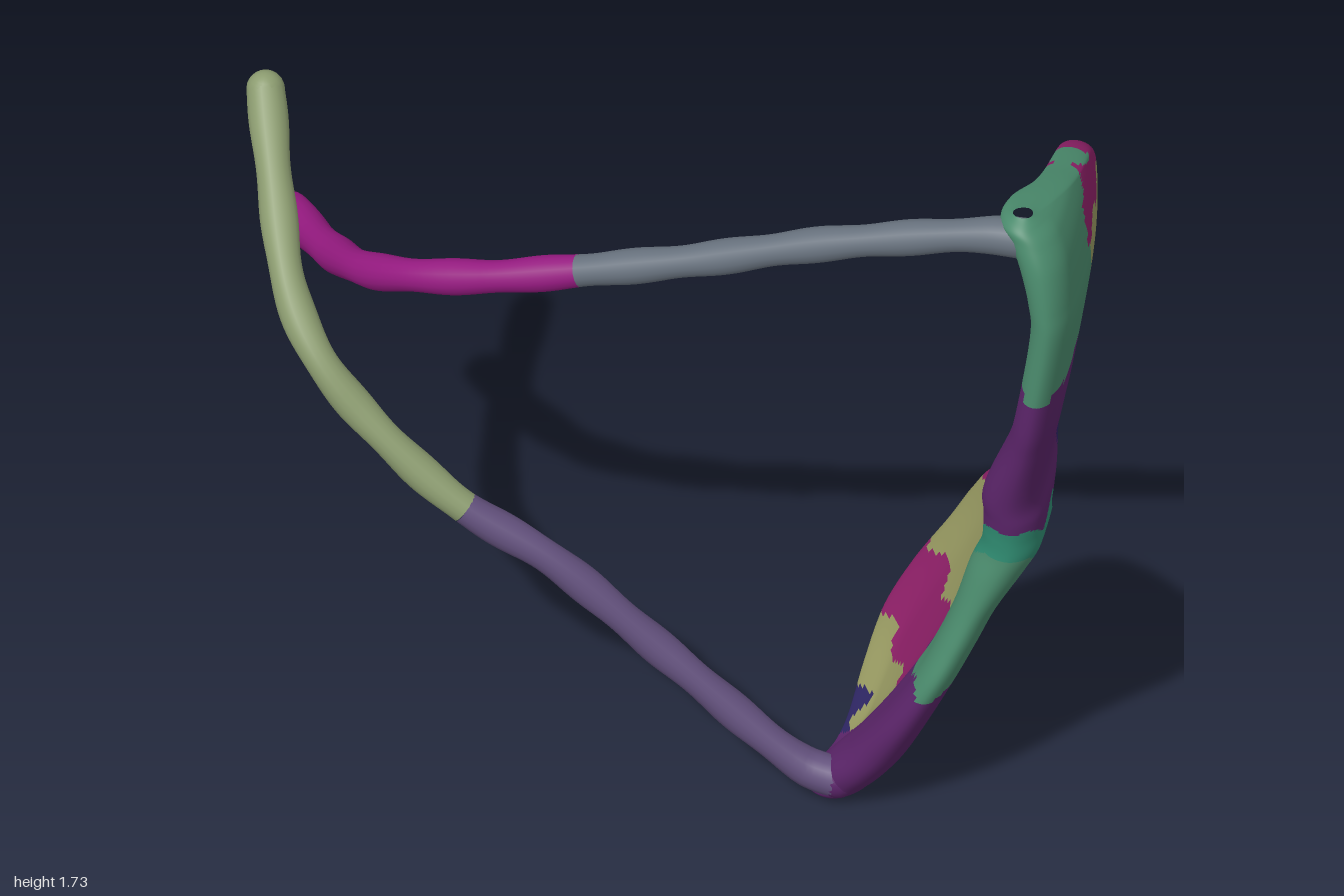
import * as THREE from 'three';

const COLORS = {
  green: 0x4a8a6c, purple: 0x5a2468, magenta: 0x8c1f66, olive: 0x94965f,
  navy: 0x2c2460, teal: 0x2f8a70, grey: 0x66707c, violet: 0x62507c, sage: 0x8c9c70, pink: 0x951a80,
};
const mat = (name) => new THREE.MeshStandardMaterial({ color: COLORS[name] });
const { smoothstep } = THREE.MathUtils;

// Lens frame stations: y, lens lower edge z, brow edge z, outer face x, thickness
const STATIONS = [
  [0.005, 0.21, 0.23, 0.455, 0.02], [0.03, 0.08, 0.265, 0.505, 0.09], [0.06, -0.02, 0.275, 0.535, 0.095],
  [0.105, -0.155, 0.29, 0.57, 0.095], [0.175, -0.27, 0.305, 0.615, 0.085], [0.29, -0.312, 0.325, 0.672, 0.07],
  [0.42, -0.315, 0.33, 0.733, 0.06], [0.52, -0.31, 0.315, 0.778, 0.06], [0.61, -0.27, 0.3, 0.818, 0.065],
  [0.715, -0.13, 0.29, 0.878, 0.085], [0.78, 0.03, 0.285, 0.912, 0.09], [0.83, 0.07, 0.285, 0.918, 0.09],
  [0.88, 0.02, 0.29, 0.92, 0.09], [0.945, -0.13, 0.295, 0.914, 0.085], [1.09, -0.27, 0.315, 0.94, 0.065],
  [1.2, -0.308, 0.33, 0.96, 0.06], [1.43, -0.312, 0.335, 0.994, 0.06], [1.525, -0.285, 0.33, 0.995, 0.065],
  [1.62, -0.19, 0.315, 0.983, 0.075], [1.68, -0.01, 0.295, 0.96, 0.08], [1.71, 0.1, 0.28, 0.935, 0.075],
  [1.732, 0.21, 0.25, 0.9, 0.03],
];

// Colour bands from bottom to top: [upper y limit, colour]
const BROW_BANDS = [[0.39, 'purple'], [0.76, 'green'], [0.84, 'teal'], [1.26, 'purple'], [2, 'green']];
const LENS_BANDS = [[0.08, 'navy'], [0.17, 'olive'], [0.36, 'magenta'], [0.59, 'olive'], [0.71, 'magenta'],
  [0.8, 'teal'], [0.95, 'navy'], [1.1, 'olive'], [1.3, 'magenta'], [1.53, 'olive'], [1.65, 'magenta'], [2, 'green']];

// Quarter-round falloff within r of an edge, d being the distance to it
const roundEdge = (d, r) => Math.sqrt(Math.max(0, 1 - Math.max(0, 1 - d / r) ** 2));

// Both lenses and the bridge: one curved shell lofted along y, split into colour patches
function makeLensFrame() {
  const group = new THREE.Group();
  group.name = 'lensFrame';
  const curve = (a, b) => new THREE.CatmullRomCurve3(
    STATIONS.map((s) => new THREE.Vector3(s[a], s[b], s[0])), false, 'catmullrom', 0.5);
  const edges = curve(1, 2), body = curve(3, 4);
  const rows = 210, sides = 96, pos = [], patches = {};
  for (let i = 0; i <= rows; i++) {
    const { x: zLow, y: zHigh, z: y } = edges.getPoint(i / rows);
    const { x: outer, y: thick } = body.getPoint(i / rows);
    const bend = 0.07 + 0.035 * (1 - smoothstep(y, 0.15, 0.7)); // lower lens wraps more
    const width = zHigh - zLow;
    for (let j = 0; j < sides; j++) {
      const a = (j / sides) * Math.PI * 2;
      const z = (zLow + zHigh) / 2 + width / 2 * Math.cos(a);
      const brow = 0.5 * smoothstep(z, 0.06, 0.2);
      const scoop = 0.3 * smoothstep(z - zLow, 0.03, 0.15) * (1 - smoothstep(z, 0, 0.14)); // hollow behind the lens
      const edge = Math.min(roundEdge(zHigh - z, Math.min(0.08, width / 2)), roundEdge(z - zLow, Math.min(0.035, width / 2)));
      const wrap = -bend * ((0.2 - z) / 0.5) ** 2;
      const half = thick * (1 + 0.35 * smoothstep(z, 0.12, 0.28)) / 2;
      const side = Math.sin(a) >= 0 ? half : half - thick * (1 + brow - scoop);
      pos.push(outer + wrap - half + side * edge, y, z);
    }
  }
  const index = [];
  for (let i = 0; i < rows; i++) {
    for (let j = 0; j < sides; j++) {
      const p = i * sides + j, q = i * sides + (j + 1) % sides;
      const quad = [p, q, p + sides, q, q + sides, p + sides];
      index.push(...quad);
      const y = pos[p * 3 + 1], z = pos[p * 3 + 2];
      const brow = z > 0.03 + 0.04 * Math.sin(y * 13);
      const yy = y + 0.02 * Math.sin(z * 40);
      const name = (brow ? BROW_BANDS : LENS_BANDS).find((b) => yy < b[0])[1];
      (patches[name] ??= []).push(...quad);
    }
  }
  const base = new THREE.BufferGeometry();
  base.setAttribute('position', new THREE.Float32BufferAttribute(pos, 3));
  base.setIndex(index);
  base.computeVertexNormals();
  for (const [name, faces] of Object.entries(patches)) {
    const geo = new THREE.BufferGeometry();
    geo.setAttribute('position', base.attributes.position);
    geo.setAttribute('normal', base.attributes.normal);
    geo.setIndex(faces);
    const mesh = new THREE.Mesh(geo, mat(name));
    mesh.name = `lensPatch_${name}`;
    group.add(mesh);
  }
  return group;
}

function ball(name, p, r, color) {
  const mesh = new THREE.Mesh(new THREE.SphereGeometry(r, 20, 14), mat(color));
  mesh.position.copy(p);
  mesh.name = name;
  return mesh;
}

// Temple arm: slightly lumpy tube in two colours with a rounded ear tip
function makeArm(name, points, split, hingeColor, frontColor, earColor) {
  const group = new THREE.Group();
  group.name = name;
  const path = new THREE.CatmullRomCurve3(points.map((p) => new THREE.Vector3(...p)));
  const radius = (u) => 0.039 + 0.008 * Math.exp(-u * 25) + 0.005 * u ** 6 + 0.0025 * Math.sin(u * 60);
  const section = (u0, u1, color, part) => {
    const pts = Array.from({ length: 31 }, (_, i) => path.getPointAt(u0 + (u1 - u0) * i / 30));
    const sub = new THREE.CatmullRomCurve3(pts);
    const n = 60, m = 16;
    const geo = new THREE.TubeGeometry(sub, n, 1, m);
    const pos = geo.attributes.position, v = new THREE.Vector3();
    for (let i = 0; i <= n; i++) {
      const c = sub.getPointAt(i / n), r = radius(u0 + (u1 - u0) * i / n);
      for (let j = 0; j <= m; j++) {
        const k = i * (m + 1) + j;
        v.fromBufferAttribute(pos, k).sub(c).multiplyScalar(r).add(c);
        pos.setXYZ(k, v.x, v.y, v.z);
      }
    }
    const mesh = new THREE.Mesh(geo, mat(color));
    mesh.name = part;
    group.add(mesh);
  };
  section(0, split, frontColor, 'armFront');
  section(split, 1, earColor, 'armEarpiece');
  group.add(ball('hinge', path.getPointAt(0), radius(0), hingeColor));
  group.add(ball('earTip', path.getPointAt(1), radius(1), earColor));
  return group;
}

export function createModel() {
  const model = new THREE.Group();
  model.name = 'sunglasses';
  model.add(makeLensFrame());
  model.add(makeArm('upperArm', [
    [0.89, 1.668, 0.24], [0.81, 1.662, 0.235], [0.44, 1.565, 0.22], [0.12, 1.455, 0.21], [-0.12, 1.38, 0.2],
    [-0.36, 1.305, 0.18], [-0.54, 1.245, 0.135], [-0.66, 1.18, 0.055], [-0.77, 1.1, -0.09], [-0.85, 1.055, -0.21],
    [-0.912, 1.038, -0.295],
  ], 0.51, 'green', 'grey', 'pink'));
  model.add(makeArm('lowerArm', [
    [0.455, 0.068, 0.235], [0.38, 0.085, 0.23], [0.06, 0.335, 0.215], [-0.2, 0.555, 0.215], [-0.42, 0.69, 0.22],
    [-0.63, 0.87, 0.195], [-0.75, 1.0, 0.16], [-0.83, 1.11, 0.08], [-0.9, 1.27, -0.08], [-0.957, 1.42, -0.235],
  ], 0.49, 'purple', 'violet', 'sage'));
  return model;
}
